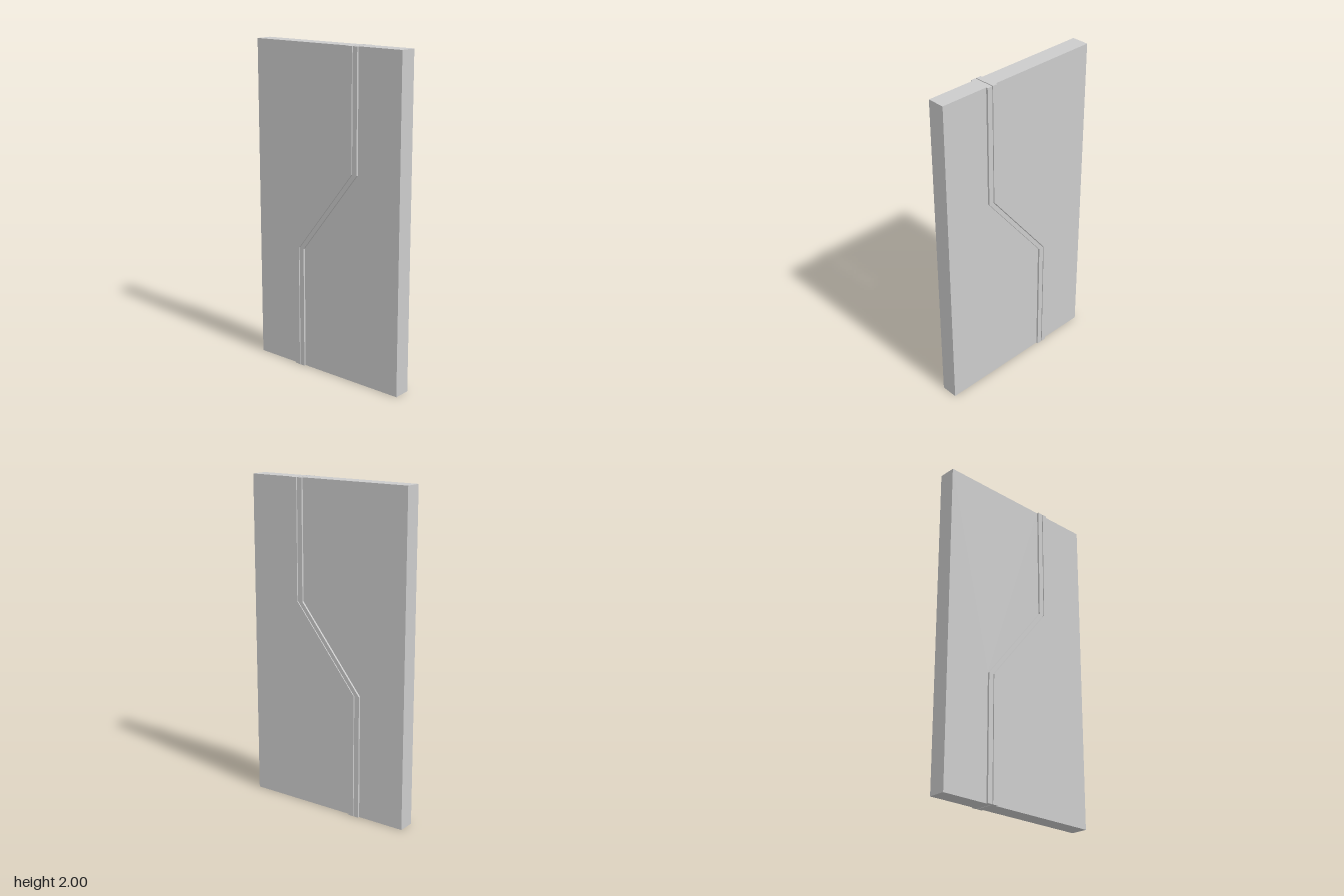
import * as THREE from 'three';

const HEIGHT = 2, HALF_DEPTH = 0.54;
const PANEL_THICK = 0.106, TRIM_THICK = 0.13;
const TRIM_REACH = 0.035, HALF_GAP = 0.003;

// Zigzag seam between the two leaves, as [z, y] from bottom to top
const SEAM = [[-0.205, 0], [-0.205, 0.76], [0.205, 1.273], [0.205, HEIGHT]];

const shifted = (d) => SEAM.map(([z, y]) => new THREE.Vector2(z + d, y));
const straight = (z) => [new THREE.Vector2(z, 0), new THREE.Vector2(z, HEIGHT)];

// Slab between two bottom-to-top edge lines, centred on x = 0
function slab(name, lineA, lineB, thickness, material) {
  const shape = new THREE.Shape([...lineA, ...lineB.slice().reverse()]);
  const geometry = new THREE.ExtrudeGeometry(shape, { depth: thickness, bevelEnabled: false });
  geometry.translate(0, 0, -thickness / 2);
  geometry.rotateY(-Math.PI / 2);
  const mesh = new THREE.Mesh(geometry, material);
  mesh.name = name;
  return mesh;
}

export function createModel() {
  const model = new THREE.Group();
  model.name = 'slidingDoor';
  const material = new THREE.MeshStandardMaterial({ color: 0xcccccc });

  // Each leaf is a flat panel with a thicker trim along the seam
  for (const [side, s] of [['front', 1], ['back', -1]]) {
    const leaf = new THREE.Group();
    leaf.name = side + 'Leaf';
    leaf.add(
      slab(side + 'Panel', shifted(s * TRIM_REACH), straight(s * HALF_DEPTH), PANEL_THICK, material),
      slab(side + 'SeamTrim', shifted(s * HALF_GAP), shifted(s * TRIM_REACH), TRIM_THICK, material)
    );
    model.add(leaf);
  }
  return model;
}
